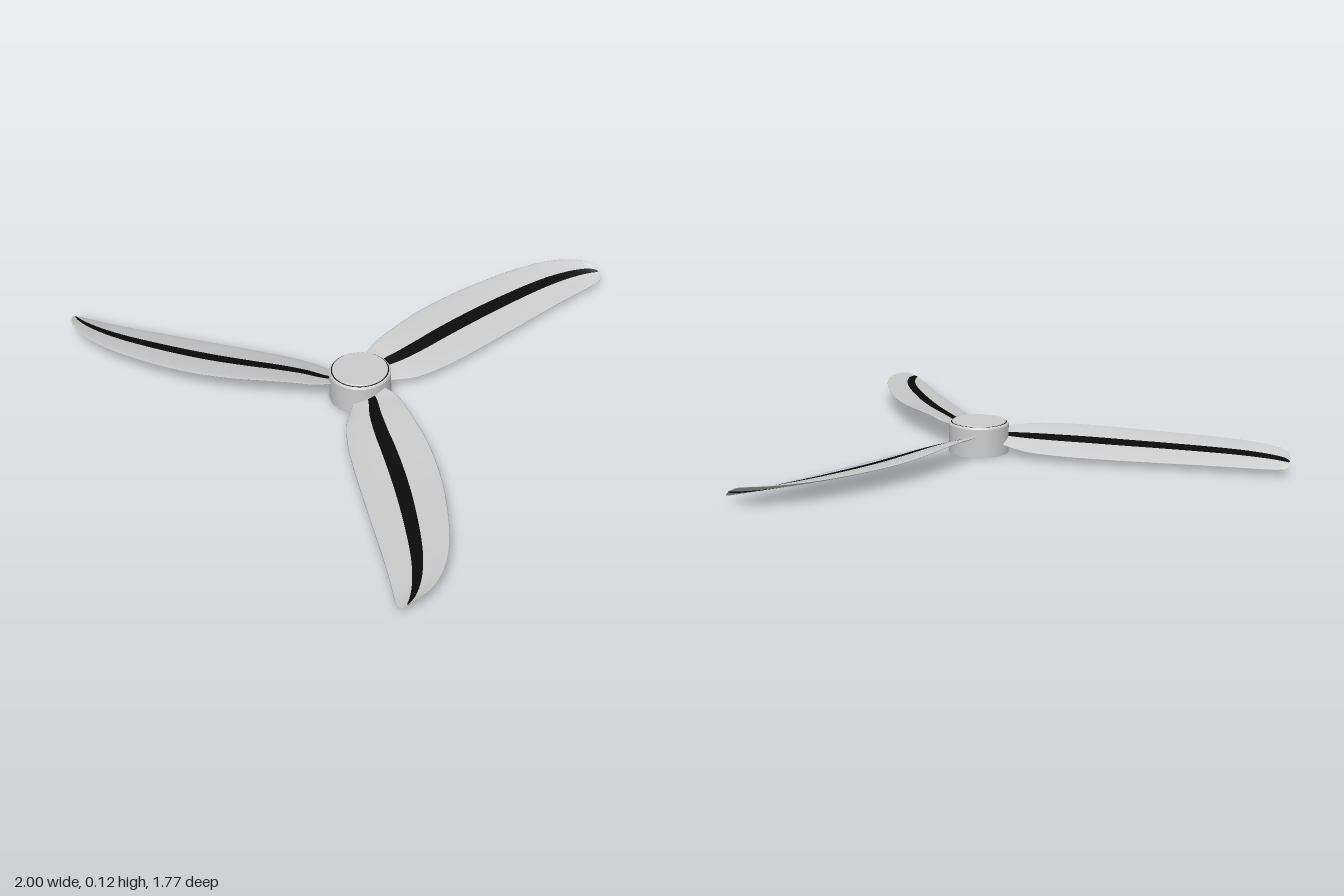
import * as THREE from 'three';
import { toCreasedNormals } from 'three/addons/utils/BufferGeometryUtils.js';

const grey = new THREE.MeshStandardMaterial({ color: 0xcccccc });
const black = new THREE.MeshStandardMaterial({ color: 0x0a0a0a });

// Blade sections: [radius, leading x, leading y, trailing x, trailing y]
const SECTIONS = [
  [0.03, -0.012, 0.058, -0.008, 0.057],
  [0.05, -0.05, 0.075, 0.012, 0.05],
  [0.09, -0.085, 0.084, 0.034, 0.042],
  [0.14, -0.112, 0.088, 0.055, 0.034],
  [0.2, -0.13, 0.092, 0.076, 0.028],
  [0.3, -0.153, 0.091, 0.086, 0.024],
  [0.4, -0.174, 0.087, 0.085, 0.022],
  [0.55, -0.189, 0.08, 0.076, 0.021],
  [0.7, -0.188, 0.077, 0.065, 0.021],
  [0.9, -0.165, 0.076, 0.05, 0.021],
  [1.0, -0.137, 0.076, 0.045, 0.021],
  [1.07, -0.102, 0.075, 0.043, 0.022],
  [1.115, -0.065, 0.073, 0.041, 0.024],
  [1.138, -0.028, 0.067, 0.034, 0.029],
  [1.146, 0.008, 0.05, 0.012, 0.046],
];
const STRIPE = 0.19; // share of the chord taken by the dark stripe

// Twisted lens-section blade pointing to -z, split into shell and stripe
function bladeGeometries() {
  const lead = new THREE.CatmullRomCurve3(SECTIONS.map(s => new THREE.Vector3(s[1], s[2], -s[0])));
  const trail = new THREE.CatmullRomCurve3(SECTIONS.map(s => new THREE.Vector3(s[3], s[4], -s[0])));

  // Angles round the section, aligned to the stripe borders
  const edge = Math.acos(STRIPE), angles = [];
  const stops = [0, edge, Math.PI - edge, Math.PI, Math.PI + edge, 2 * Math.PI - edge, 2 * Math.PI];
  const steps = [7, 3, 7, 7, 3, 7];
  steps.forEach((n, k) => {
    for (let j = 0; j < n; j++) angles.push(stops[k] + (stops[k + 1] - stops[k]) * j / n);
  });

  const rows = 84, cols = angles.length;
  const positions = [], shell = [], stripe = [];
  for (let i = 0; i <= rows; i++) {
    const a = lead.getPoint(i / rows), b = trail.getPoint(i / rows);
    const chord = a.distanceTo(b);
    const up = new THREE.Vector3(a.y - b.y, b.x - a.x, 0).normalize();
    for (const t of angles) {
      const p = a.clone().lerp(b, (1 - Math.cos(t)) / 2);
      p.addScaledVector(up, 0.03 * chord * Math.sin(t));
      positions.push(p.x, p.y, p.z);
    }
  }
  for (let i = 0; i < rows; i++) {
    for (let j = 0; j < cols; j++) {
      const k = (j + 1) % cols;
      const p = i * cols + j, q = i * cols + k;
      const inStripe = (j >= 7 && j < 10) || (j >= 24 && j < 27);
      (inStripe ? stripe : shell).push(p, q, p + cols, q, q + cols, p + cols);
    }
  }
  const whole = new THREE.BufferGeometry();
  whole.setAttribute('position', new THREE.Float32BufferAttribute(positions, 3));
  whole.setIndex([...shell, ...stripe]);
  whole.computeVertexNormals();
  return [shell, stripe].map(index => {
    const g = whole.clone();
    g.setIndex(index);
    return g;
  });
}

function lathe(name, points, material) {
  const profile = points.map(p => new THREE.Vector2(p[0], p[1]));
  const geometry = toCreasedNormals(new THREE.LatheGeometry(profile, 64), 0.5);
  const mesh = new THREE.Mesh(geometry, material);
  mesh.name = name;
  return mesh;
}

export function createModel() {
  const model = new THREE.Group();
  model.name = 'propeller';
  const rotor = new THREE.Group();
  rotor.name = 'rotor';
  rotor.position.z = 0.27;
  model.add(rotor);

  // Hub: drum, dark seam and raised cap
  rotor.add(
    lathe('hub', [[0, 0], [0.11, 0], [0.11, 0.105], [0.107, 0.11], [0.103, 0.112]], grey),
    lathe('hubSeam', [[0.103, 0.112], [0.098, 0.112]], black),
    lathe('hubCap', [[0.099, 0.105], [0.099, 0.115], [0.097, 0.117], [0, 0.117]], grey),
  );

  // Three blades
  const [shell, stripe] = bladeGeometries();
  for (let i = 0; i < 3; i++) {
    const blade = new THREE.Group();
    blade.name = `blade${i + 1}`;
    const body = new THREE.Mesh(shell, grey);
    body.name = 'bladeBody';
    const band = new THREE.Mesh(stripe, black);
    band.name = 'bladeStripe';
    blade.add(body, band);
    blade.rotation.y = i * 2 * Math.PI / 3;
    rotor.add(blade);
  }
  return model;
}
